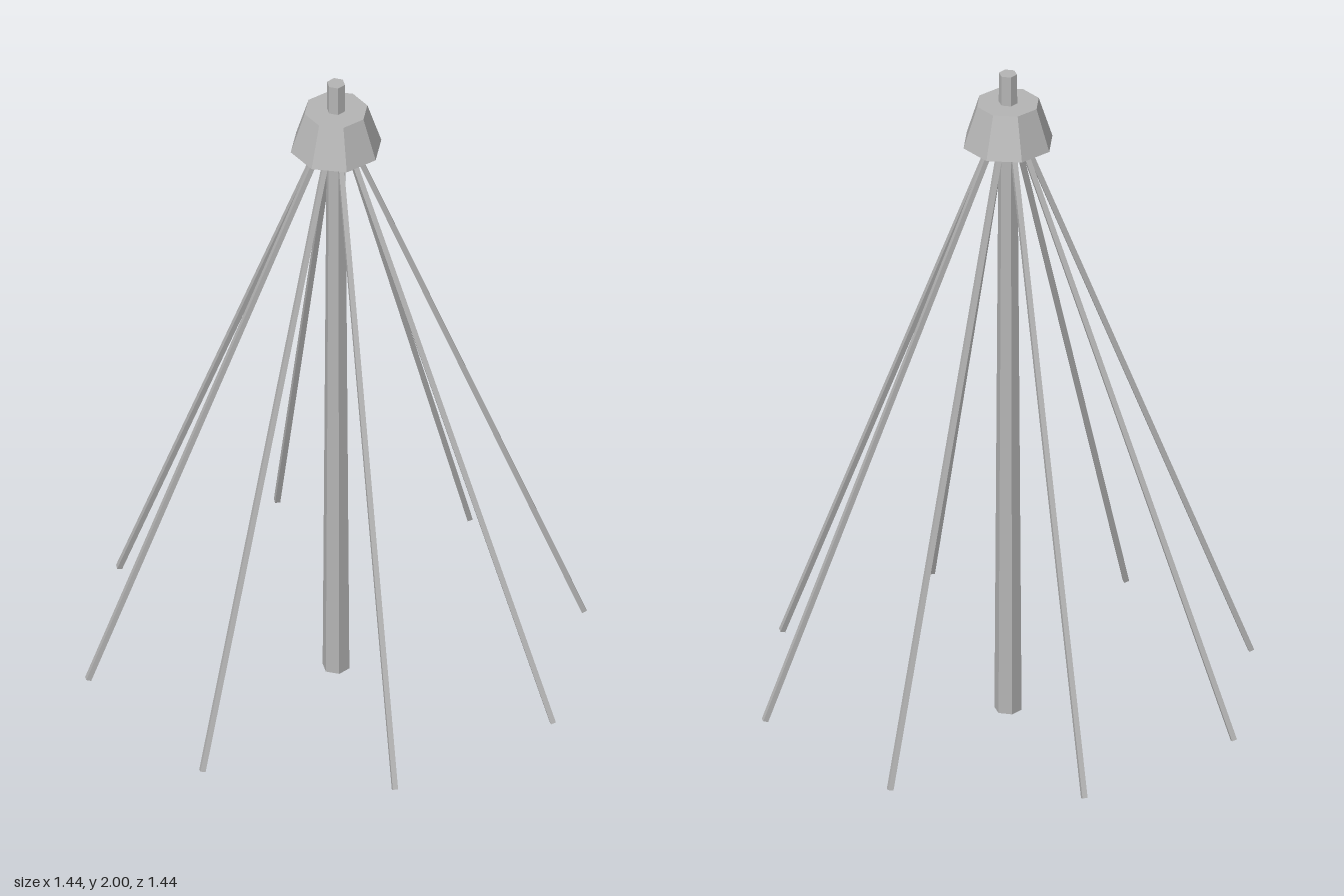
import * as THREE from 'three';

const RIBS = 8;

export function createModel() {
  const model = new THREE.Group();
  const grey = new THREE.MeshStandardMaterial({ color: 0xb4b4b4, flatShading: true, side: THREE.DoubleSide });
  grey.name = 'grey metal';

  const add = (name, geometry) => {
    const mesh = new THREE.Mesh(geometry, grey);
    mesh.name = name;
    model.add(mesh);
    return mesh;
  };

  // tapered six-sided centre pole
  add('pole', new THREE.CylinderGeometry(0.026, 0.039, 2, 6)).position.y = 1;

  // eight-sided hub, hollow underneath with a flat lid
  add('hubSides', new THREE.CylinderGeometry(0.09, 0.13, 0.125, 8, 1, true)).position.y = 1.847;
  const lid = new THREE.CircleGeometry(0.09, 8).rotateX(-Math.PI / 2);
  add('hubLid', lid).position.y = 1.9095;

  // slender square ribs fanning out from inside the hub
  const up = new THREE.Vector3(0, 1, 0);
  for (let i = 0; i < RIBS; i++) {
    const a = (i / RIBS) * Math.PI * 2;
    const at = (r, y) => new THREE.Vector3(Math.sin(a) * r, y, Math.cos(a) * r);
    const top = at(0.021, 1.85);
    const foot = at(0.711, 0.073);
    const dir = top.clone().sub(foot);
    const rib = add('rib' + (i + 1), new THREE.BoxGeometry(0.015, dir.length(), 0.015));
    rib.position.copy(top).add(foot).multiplyScalar(0.5);
    rib.quaternion.setFromUnitVectors(up, dir.normalize());
  }

  return model;
}
